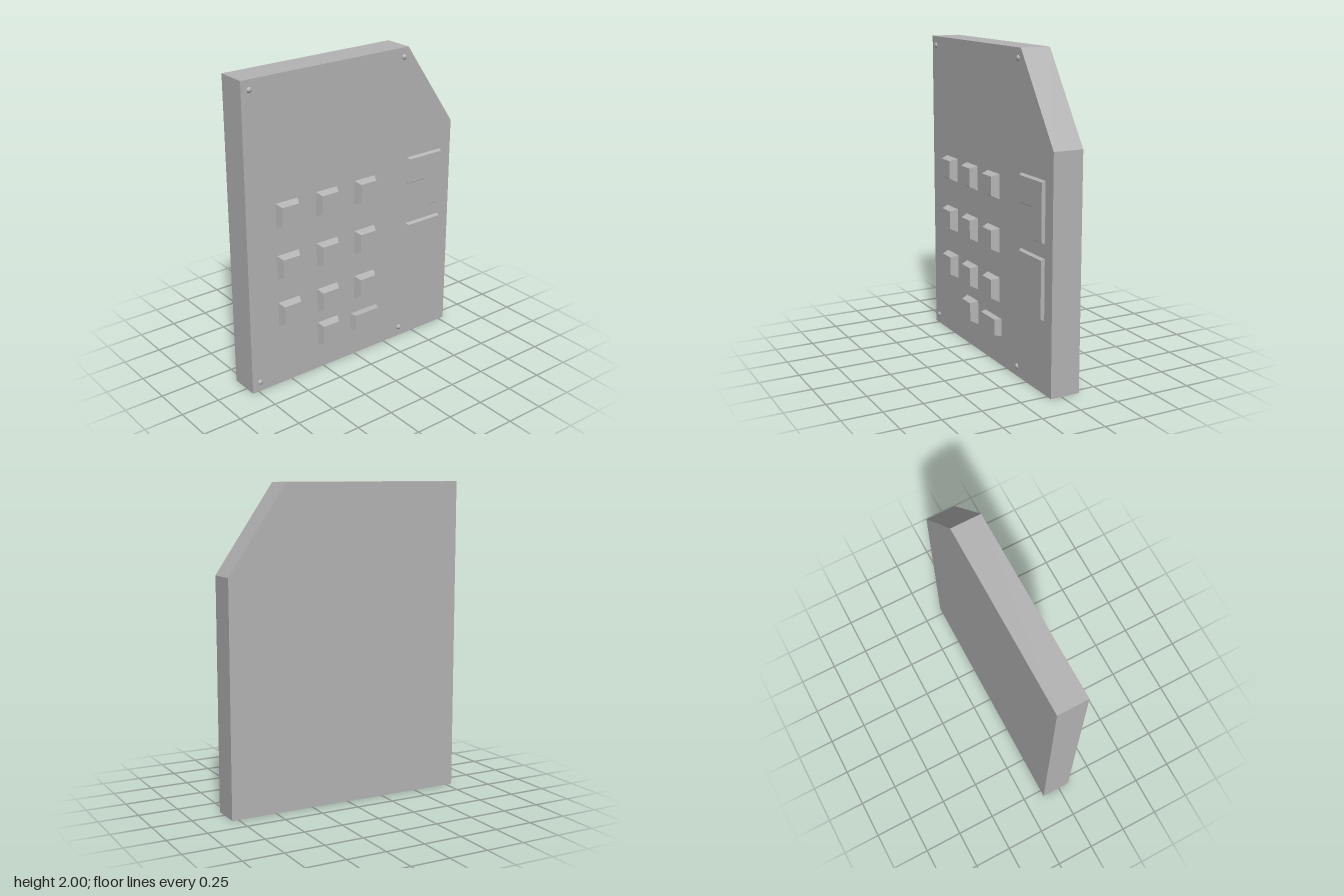
import * as THREE from 'three';

const FACE_Z = 0.072;

// Solid between a base outline and a smaller top outline (both counter-clockwise)
function taperedSolid(base, top, z0, z1) {
  const pos = [];
  const n = base.length;
  const put = (p, z) => pos.push(p[0], p[1], z);
  for (let i = 0; i < n; i++) {
    const j = (i + 1) % n;
    put(base[i], z0); put(base[j], z0); put(top[j], z1);
    put(base[i], z0); put(top[j], z1); put(top[i], z1);
  }
  const outline = top.map(p => new THREE.Vector2(p[0], p[1]));
  for (const [a, b, c] of THREE.ShapeUtils.triangulateShape(outline, [])) {
    put(top[a], z1); put(top[b], z1); put(top[c], z1);
  }
  const geo = new THREE.BufferGeometry();
  geo.setAttribute('position', new THREE.Float32BufferAttribute(pos, 3));
  geo.computeVertexNormals();
  return geo;
}

const rect = (l, b, r, t) => [[l, b], [r, b], [r, t], [l, t]];

// Corner-shaped outline: wide arm on top, leg down the right side, shrunk by d
const cornerOutline = (top, d) => [
  [0.424 + d, top - 0.182 + d], [0.571 + d, top - 0.182 + d],
  [0.571 + d, top - 0.373 + d], [0.706 - d, top - 0.373 + d],
  [0.706 - d, top - d], [0.424 + d, top - d],
];

export function createModel() {
  const model = new THREE.Group();
  model.name = 'keypadPanel';
  const grey = new THREE.MeshStandardMaterial({ color: 0xb4b4b4 });
  grey.name = 'grey';

  const add = (name, geo, parent = model) => {
    const mesh = new THREE.Mesh(geo, grey);
    mesh.name = name;
    parent.add(mesh);
    return mesh;
  };
  const group = name => {
    const g = new THREE.Group();
    g.name = name;
    model.add(g);
    return g;
  };

  // Panel with one cut corner
  const outline = [[-0.793, 0], [0.791, 0], [0.791, 1.455], [0.415, 2], [-0.793, 2]];
  const shape = new THREE.Shape(outline.map(p => new THREE.Vector2(...p)));
  const panel = new THREE.ExtrudeGeometry(shape, { depth: FACE_Z + 0.12, bevelEnabled: false });
  panel.translate(0, 0, -0.12);
  add('panel', panel);

  // Square tapered keys: three full rows and a single key below
  const keys = group('squareKeys');
  const addKey = (x, y) => {
    const h = 0.079;
    add('squareKey', taperedSolid(
      rect(x - h, y - h, x + h, y + h),
      rect(x - 0.063, y - 0.055, x + 0.056, y + 0.063), FACE_Z, 0.119), keys);
  };
  const columns = [-0.507, -0.215, 0.079];
  for (const y of [1.143, 0.804, 0.488]) for (const x of columns) addKey(x, y);
  addKey(columns[1], 0.251);

  // Wide key
  add('wideKey', taperedSolid(
    rect(-0.033, 0.193, 0.182, 0.305),
    rect(-0.017, 0.197, 0.167, 0.301), FACE_Z, 0.113));

  // Two corner-shaped keys
  const corners = group('cornerKeys');
  for (const top of [1.279, 0.823]) {
    add('cornerKey', taperedSolid(
      cornerOutline(top, 0), cornerOutline(top, 0.011), FACE_Z, 0.09), corners);
  }

  // Domed screws
  const screws = group('screws');
  for (const x of [-0.738, 0.384]) {
    for (const y of [0.063, 1.94]) {
      add('screw', new THREE.SphereGeometry(0.019, 20, 14), screws).position.set(x, y, 0.065);
    }
  }
  return model;
}
